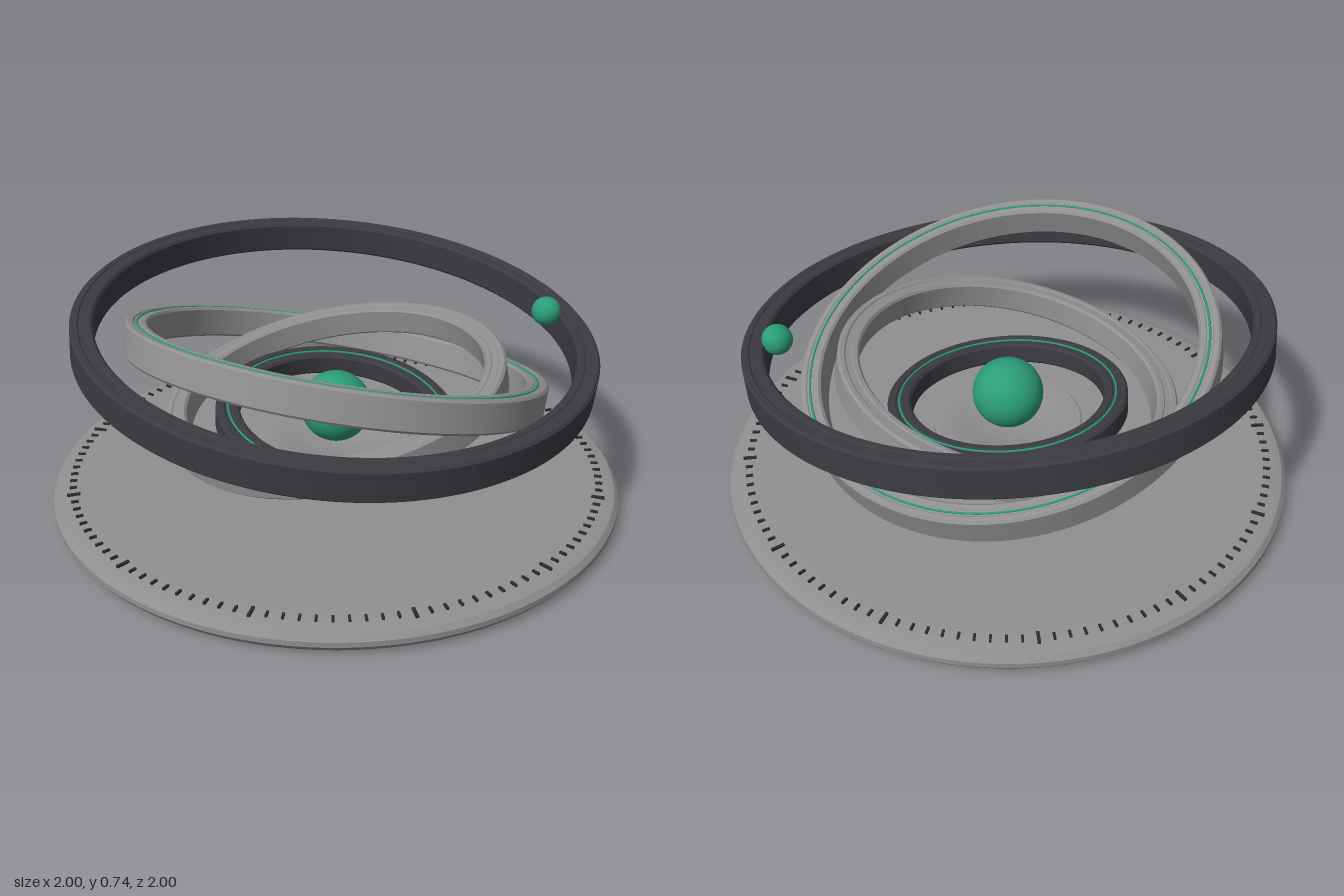
import * as THREE from 'three';
import { toCreasedNormals } from 'three/addons/utils/BufferGeometryUtils.js';

const material = (name, color) => {
  const m = new THREE.MeshStandardMaterial({ color });
  m.name = name;
  return m;
};

export function createModel() {
  const grey = material('warm grey', 0x909090);
  const dark = material('charcoal', 0x3b3a41);
  const green = material('jade green', 0x2b9d78);
  const tickDark = material('tick black', 0x2b2b31);
  const model = new THREE.Group();
  model.name = 'orrery';

  const add = (parent, name, geometry, mat, x = 0, y = 0, z = 0) => {
    const mesh = new THREE.Mesh(geometry, mat);
    mesh.name = name;
    mesh.position.set(x, y, z);
    parent.add(mesh);
    return mesh;
  };

  // Profile runs up the outside, inward over the top and back down
  const lathe = (points, crease = 0.5) => toCreasedNormals(
    new THREE.LatheGeometry(points.map(([x, y]) => new THREE.Vector2(x, y)), 128), crease);

  // Base disc: hollow underside with a small centre point, rounded rim
  add(model, 'base', lathe([
    [0, 0], [0.09, 0.08], [0.2, 0.045], [0.4, 0.02], [0.7, 0.007], [0.95, 0],
    [0.985, 0.012], [1, 0.032], [1, 0.05], [0.985, 0.068], [0.95, 0.079],
    [0.9, 0.081], [0.64, 0.083], [0.3, 0.086], [0, 0.088],
  ]), grey);

  // Graduation ticks around the rim
  const ticks = new THREE.Group();
  ticks.name = 'graduationTicks';
  model.add(ticks);
  const count = 120;
  const minor = new THREE.BoxGeometry(0.025, 0.008, 0.008);
  const major = new THREE.BoxGeometry(0.045, 0.008, 0.01);
  for (let i = 0; i < count; i++) {
    const a = (i / count) * Math.PI * 2;
    const r = 0.93;
    const tick = add(ticks, 'tick', i % 10 ? minor : major, tickDark,
      Math.cos(a) * r, 0.083, Math.sin(a) * r);
    tick.rotation.y = -a;
  }

  // Floating cradle below the central sphere
  add(model, 'cradle', lathe([
    [0, 0.16], [0.26, 0.16], [0.265, 0.165], [0.265, 0.195], [0.26, 0.2],
    [0.2, 0.2], [0.15, 0.183], [0.08, 0.17], [0, 0.167],
  ]), grey);

  add(model, 'centralSphere', new THREE.SphereGeometry(0.125, 48, 32), green, 0, 0.31, 0);
  add(model, 'orbitingBall', new THREE.SphereGeometry(0.052, 32, 24), green, 0.775, 0.59, 0);

  // Tilted bands; slopes are the rise along x and along z
  const rings = [
    { name: 'outerRing', mat: dark, outer: 0.892, inner: 0.815, h: 0.112, y: 0.579, slope: [-0.06, -0.108] },
    { name: 'middleRing', mat: grey, outer: 0.73, inner: 0.655, h: 0.11, y: 0.478, slope: [-0.22, 0.205], inlay: true },
    { name: 'innerRing', mat: grey, outer: 0.6, inner: 0.525, h: 0.1, y: 0.37, slope: [0.19, 0] },
    { name: 'smallRing', mat: dark, outer: 0.425, inner: 0.342, h: 0.078, y: 0.272, slope: [-0.05, -0.125], inlay: true },
  ];
  const up = new THREE.Vector3(0, 1, 0);
  for (const { name, mat, outer, inner, h, y, slope, inlay } of rings) {
    const ring = new THREE.Group();
    ring.name = name;
    ring.position.y = y;
    ring.quaternion.setFromUnitVectors(up, new THREE.Vector3(-slope[0], 1, -slope[1]).normalize());
    model.add(ring);

    const t = h / 2, b = 0.008, mid = (outer + inner) / 2;
    add(ring, name + 'Band', lathe([
      [inner + b, -t], [outer - b, -t], [outer, b - t], [outer, t - b], [outer - b, t],
      // shallow groove along the upper face
      [mid + 0.014, t], [mid + 0.01, t - 0.004], [mid - 0.01, t - 0.004], [mid - 0.014, t],
      [inner + b, t], [inner, t - b], [inner, b - t], [inner + b, -t],
    ]), mat);

    // Fine wire laid in the groove
    if (inlay) {
      const wire = add(ring, name + 'Inlay', new THREE.TorusGeometry(mid, 0.004, 6, 128), green, 0, t - 0.003, 0);
      wire.rotation.x = Math.PI / 2;
    }
  }
  return model;
}
